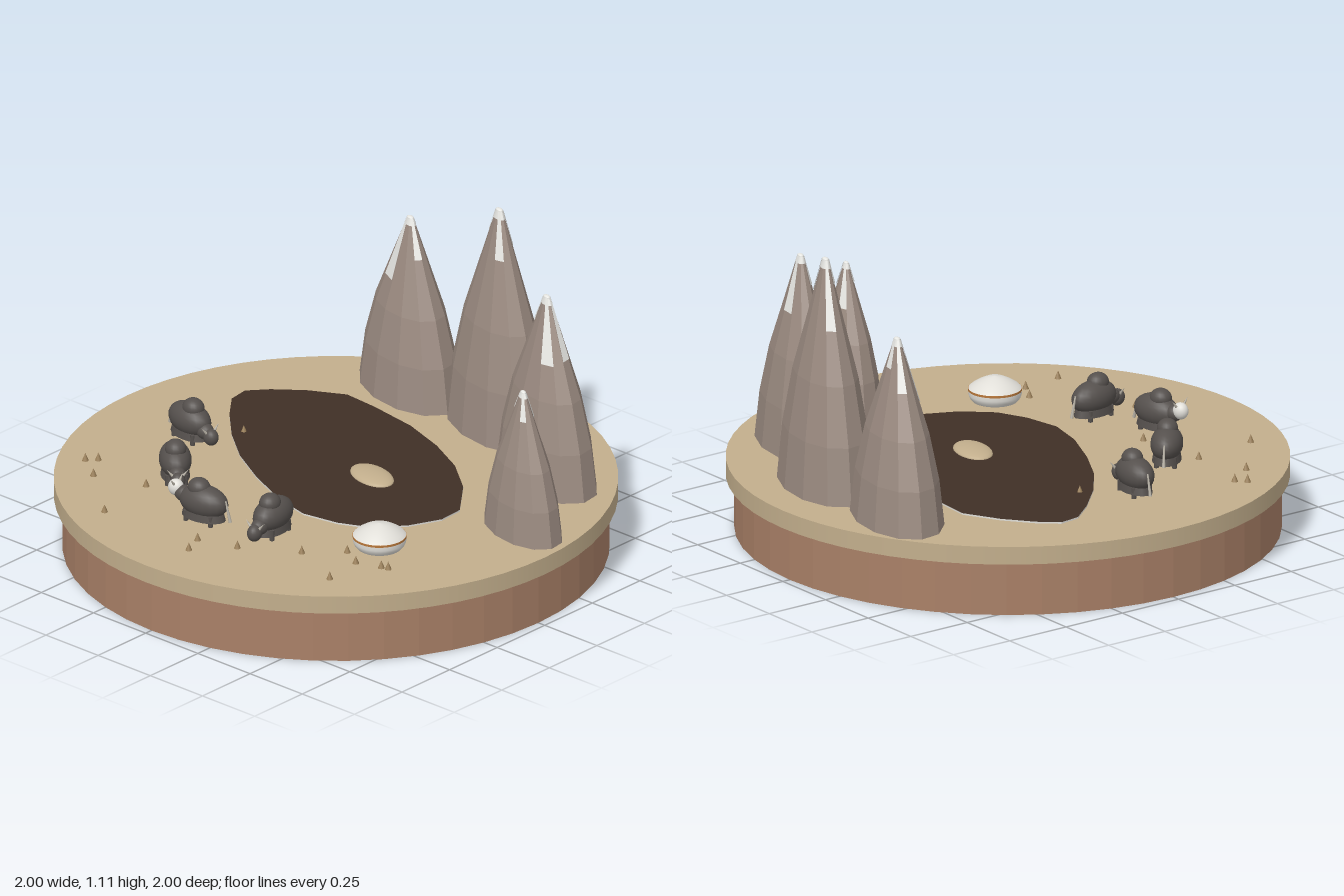
import * as THREE from 'three';

const mat = (name, color, extra = {}) => {
  const m = new THREE.MeshStandardMaterial({ color, ...extra });
  m.name = name;
  return m;
};

export function createModel() {
  const sand = mat('sand', 0xc2ae8c);
  const earth = mat('earth', 0xa98067, { flatShading: true });
  const water = mat('dark water', 0x403026);
  const rock = mat('rock', 0x9a8a80, { flatShading: true });
  const snow = mat('snow', 0xe8e8e4, { side: THREE.DoubleSide });
  const fur = mat('fur', 0x55504d);
  const felt = mat('felt', 0xe0ded8);
  const orange = mat('orange band', 0xb8783c);
  const grass = mat('dry grass', 0x9a7f58);
  const bone = mat('horn', 0xb8b2a6);

  const model = new THREE.Group();
  const GROUND = 0.265;

  const add = (parent, name, geo, material, x = 0, y = 0, z = 0) => {
    const m = new THREE.Mesh(geo, material);
    m.name = name;
    m.position.set(x, y, z);
    parent.add(m);
    return m;
  };

  // Round plinth
  add(model, 'plinth', new THREE.CylinderGeometry(0.97, 0.97, 0.2, 48), earth, 0, 0.1, 0);
  add(model, 'groundDisc', new THREE.CylinderGeometry(1, 1, 0.066, 64), sand, 0, 0.232, 0);

  // Lake with a pale shore edge and a low island
  const shore = [
    [-0.42, -0.52], [-0.28, -0.51], [-0.08, -0.48], [0.1, -0.42], [0.26, -0.34], [0.4, -0.23],
    [0.52, -0.08], [0.525, 0.02], [0.47, 0.14], [0.38, 0.24], [0.27, 0.29], [0.13, 0.315],
    [-0.02, 0.28], [-0.2, 0.2], [-0.36, 0.11], [-0.5, 0], [-0.62, -0.12], [-0.7, -0.22],
    [-0.71, -0.3], [-0.65, -0.37], [-0.55, -0.45],
  ];
  const lakeShape = new THREE.Shape(shore.map(([x, z]) => new THREE.Vector2(x, -z)));
  const lakeGeo = new THREE.ExtrudeGeometry(lakeShape, { depth: 0.006, bevelEnabled: false });
  lakeGeo.rotateX(-Math.PI / 2);
  add(model, 'lake', lakeGeo, [water, felt], 0, GROUND, 0);
  const island = add(model, 'island', new THREE.SphereGeometry(1, 24, 12), sand, 0.1, 0.27, -0.08);
  island.scale.set(0.108, 0.02, 0.065);
  island.rotation.y = -0.3;

  // Mountains: faceted oval cones with snow lying on chosen facets near the peak
  const SIDES = 12;
  const profile = [1, 0.89, 0.68, 0.37, 0.06];
  const radiusAt = (t) => {
    const i = Math.min(3, Math.floor(t * 4));
    return THREE.MathUtils.lerp(profile[i], profile[i + 1], t * 4 - i);
  };
  const slope = (rx, rz, h, u0, u1, ts, lift) => {
    const pos = [];
    const idx = [];
    const cols = u1 - u0 + 1;
    ts.forEach((t) => {
      for (let u = u0; u <= u1; u++) {
        const a = (u / SIDES) * Math.PI * 2;
        const r = radiusAt(t);
        pos.push(Math.cos(a) * (rx * r + lift), t * h, Math.sin(a) * (rz * r + lift));
      }
    });
    for (let j = 0; j < ts.length - 1; j++) {
      for (let i = 0; i < cols - 1; i++) {
        const p = j * cols + i;
        idx.push(p, p + cols, p + 1, p + 1, p + cols, p + cols + 1);
      }
    }
    const g = new THREE.BufferGeometry();
    g.setAttribute('position', new THREE.Float32BufferAttribute(pos, 3));
    g.setIndex(idx);
    g.computeVertexNormals();
    return g;
  };
  const mountains = [
    { x: -0.3, z: -0.72, h: 0.67, rx: 0.26, rz: 0.152, caps: [[3, 0.66], [6, 0.74], [8, 0.85], [0, 0.8]] },
    { x: 0.14, z: -0.705, h: 0.845, rx: 0.27, rz: 0.155, caps: [[4, 0.9], [6, 0.72], [1, 0.8], [10, 0.85]] },
    { x: 0.55, z: -0.505, h: 0.705, rx: 0.26, rz: 0.146, caps: [[1, 0.68], [4, 0.86], [8, 0.72], [11, 0.7]] },
    { x: 0.78, z: -0.128, h: 0.535, rx: 0.2, rz: 0.115, caps: [[1, 0.82], [4, 0.88], [7, 0.72], [10, 0.84]] },
  ];
  mountains.forEach(({ x, z, h, rx, rz, caps }) => {
    const g = new THREE.Group();
    g.name = 'mountain';
    g.position.set(x, GROUND - 0.002, z);
    g.rotation.y = -0.3;
    add(g, 'mountainRock', slope(rx, rz, h, 0, SIDES, [0, 0.25, 0.5, 0.75, 1], 0), rock);
    caps.forEach(([k, t]) => {
      const ts = t < 0.75 ? [t, 0.75, 1] : [t, 1];
      add(g, 'snowStreak', slope(rx, rz, h, k, k + 1, ts, 0.003), snow);
    });
    add(g, 'snowPeak', slope(rx, rz, h, 0, SIDES, [0.965, 1], 0.002), snow);
    const tip = add(g, 'snowTip', new THREE.SphereGeometry(1, 12, 8), snow, 0, h, 0);
    tip.scale.set(rx * 0.06 + 0.002, 0.006, rz * 0.06 + 0.002);
    model.add(g);
  });

  // Grazing shaggy animals, built facing +x
  const ball = new THREE.SphereGeometry(1, 20, 14);
  const grazer = (x, z, heading, headY, headMat) => {
    const g = new THREE.Group();
    g.name = 'grazer';
    g.position.set(x, GROUND, z);
    g.rotation.y = -heading;
    const blob = (name, m, px, py, pz, sx, sy, sz) =>
      add(g, name, ball, m, px, py, pz).scale.set(sx, sy, sz);
    blob('body', fur, 0, 0.076, 0, 0.098, 0.06, 0.058);
    blob('hump', fur, 0.02, 0.125, 0, 0.042, 0.036, 0.038);
    add(g, 'shaggySkirt', new THREE.CylinderGeometry(0.8, 0.95, 0.05, 20), fur, 0, 0.04, 0)
      .scale.set(0.092, 1, 0.055);
    blob('neck', fur, 0.085, (headY + 0.07) / 2, 0, 0.036, 0.03, 0.03);
    blob('head', headMat, 0.118, headY, 0, 0.03, 0.031, 0.026);
    for (const s of [-1, 1]) {
      const horn = add(g, 'horn', new THREE.ConeGeometry(0.006, 0.035, 8), bone, 0.115, headY + 0.03, s * 0.028);
      horn.rotation.x = s * 0.7;
      for (const lx of [-0.05, 0.055]) {
        add(g, 'leg', new THREE.CylinderGeometry(0.009, 0.009, 0.04, 8), fur, lx, 0.02, s * 0.032);
      }
    }
    const tail = add(g, 'tail', new THREE.CylinderGeometry(0.003, 0.006, 0.08, 8), bone, -0.103, 0.06, 0);
    tail.rotation.z = -0.25;
    model.add(g);
  };
  grazer(-0.6, 0.11, 0.15, 0.045, fur);
  grazer(-0.41, 0.395, 0.75, 0.045, fur);
  grazer(-0.1, 0.585, Math.PI - 0.15, 0.1, felt);
  grazer(0.15, 0.495, 1.42, 0.045, fur);

  // Round felt tent
  const tent = new THREE.Group();
  tent.name = 'tent';
  tent.position.set(0.505, GROUND, 0.325);
  const lathe = (pts) => new THREE.LatheGeometry(pts.map(([r, y]) => new THREE.Vector2(r, y)), 32);
  add(tent, 'tentWall', lathe([[0.08, 0], [0.09, 0.012], [0.095, 0.025], [0.094, 0.042]]), felt);
  add(tent, 'tentBand', new THREE.CylinderGeometry(0.096, 0.096, 0.008, 32), orange, 0, 0.043, 0);
  add(tent, 'tentRoof', lathe([[0.095, 0.047], [0.085, 0.057], [0.06, 0.073], [0.03, 0.087], [0, 0.092]]), felt);
  model.add(tent);

  // Scattered grass tufts
  const tufts = [
    [-0.745, 0.5], [-0.713, 0.467], [-0.638, 0.575], [-0.442, 0.513], [-0.407, 0.77], [-0.163, 0.478],
    [-0.005, 0.722], [0.027, 0.803], [0.143, 0.675], [0.34, 0.553], [0.455, 0.44], [0.538, 0.486],
    [0.558, 0.645], [0.63, 0.453], [0.656, 0.445], [-0.493, 0.24], [-0.485, -0.048],
  ];
  const tuftGeo = new THREE.ConeGeometry(0.013, 0.032, 8);
  tufts.forEach(([x, z]) => add(model, 'grassTuft', tuftGeo, grass, x, GROUND + 0.014, z));

  return model;
}
